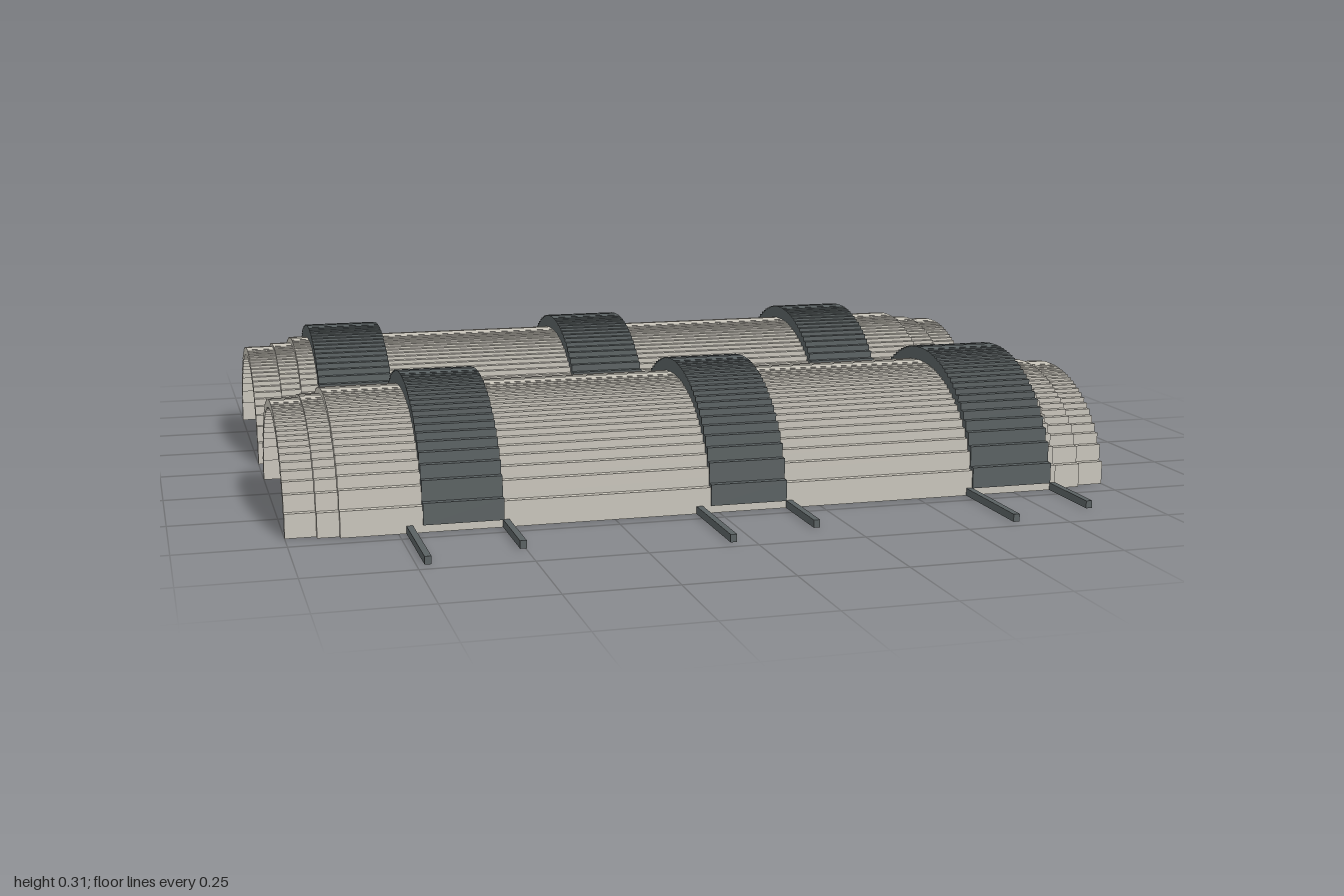
import * as THREE from 'three';

const COLUMNS = 20; // steps across half of an arch

// Stepped half-arch outline, from the -u foot over the top to the +u foot
function steppedArch(rz, ry, foot) {
  const pts = [];
  for (let i = -COLUMNS; i < COLUMNS; i++) {
    const y = ry * Math.sqrt(1 - ((i + 0.5) / COLUMNS) ** 2);
    pts.push(new THREE.Vector2(rz * i / COLUMNS, y), new THREE.Vector2(rz * (i + 1) / COLUMNS, y));
  }
  pts.unshift(new THREE.Vector2(-rz, foot));
  pts.push(new THREE.Vector2(rz, foot));
  return pts;
}

// Stepped arch shell running along x from x0 to x1
function archShell(name, outer, inner, x0, x1, foot, material) {
  const shape = new THREE.Shape([
    ...steppedArch(outer[0], outer[1], foot),
    ...steppedArch(inner[0], inner[1], foot).reverse(),
  ]);
  const geometry = new THREE.ExtrudeGeometry(shape, { depth: x1 - x0, bevelEnabled: false });
  geometry.rotateY(Math.PI / 2);
  geometry.translate(x0, 0, 0);
  const mesh = new THREE.Mesh(geometry, material);
  mesh.name = name;
  return mesh;
}

export function createModel() {
  const shellMat = new THREE.MeshStandardMaterial({ color: 0xc9c5bb });
  shellMat.name = 'pale shell';
  const strapMat = new THREE.MeshStandardMaterial({ color: 0x5a6162 });
  strapMat.name = 'dark strap';

  const model = new THREE.Group();
  model.name = 'pairOfArchedShells';

  // side is +1 for the front arch, -1 for the back arch
  const arches = [
    {
      name: 'frontArch', side: 1,
      straps: [[-0.695, -0.51], [-0.02, 0.165], [0.64, 0.845]],
      rods: [[-0.725, -0.505], [-0.047, 0.173], [0.633, 0.853]],
    },
    {
      name: 'backArch', side: -1,
      straps: [[-0.835, -0.645], [-0.155, 0.035], [0.525, 0.71]],
      rods: [[-0.84, -0.64], [-0.165, 0.04], [0.515, 0.72]],
    },
  ];

  for (const { name, side, straps, rods } of arches) {
    const arch = new THREE.Group();
    arch.name = name;
    arch.position.z = 0.38 * side;

    // Three nested layers, each shorter than the one inside it
    arch.add(archShell('innerLayer', [0.3, 0.253], [0.283, 0.233], -1, 1, 0, shellMat));
    arch.add(archShell('middleLayer', [0.314, 0.26], [0.3, 0.253], -0.93, 0.93, 0, shellMat));
    arch.add(archShell('outerLayer', [0.326, 0.275], [0.314, 0.26], -0.88, 0.86, 0, shellMat));

    // Straps over the shell
    for (const [x0, x1] of straps) {
      arch.add(archShell('strap', [0.331, 0.308], [0.318, 0.272], x0, x1, 0.018, strapMat));
    }

    // A long and a short loose strap end lying on the ground beside each strap
    for (const pair of rods) {
      pair.forEach((x, i) => {
        const z0 = 0.325, z1 = i === 0 ? 0.585 : 0.515;
        const rod = new THREE.Mesh(new THREE.BoxGeometry(0.015, 0.018, z1 - z0), strapMat);
        rod.name = i === 0 ? 'longStrapEnd' : 'shortStrapEnd';
        rod.position.set(x, 0.009, side * (z0 + z1) / 2);
        arch.add(rod);
      });
    }
    model.add(arch);
  }
  return model;
}
